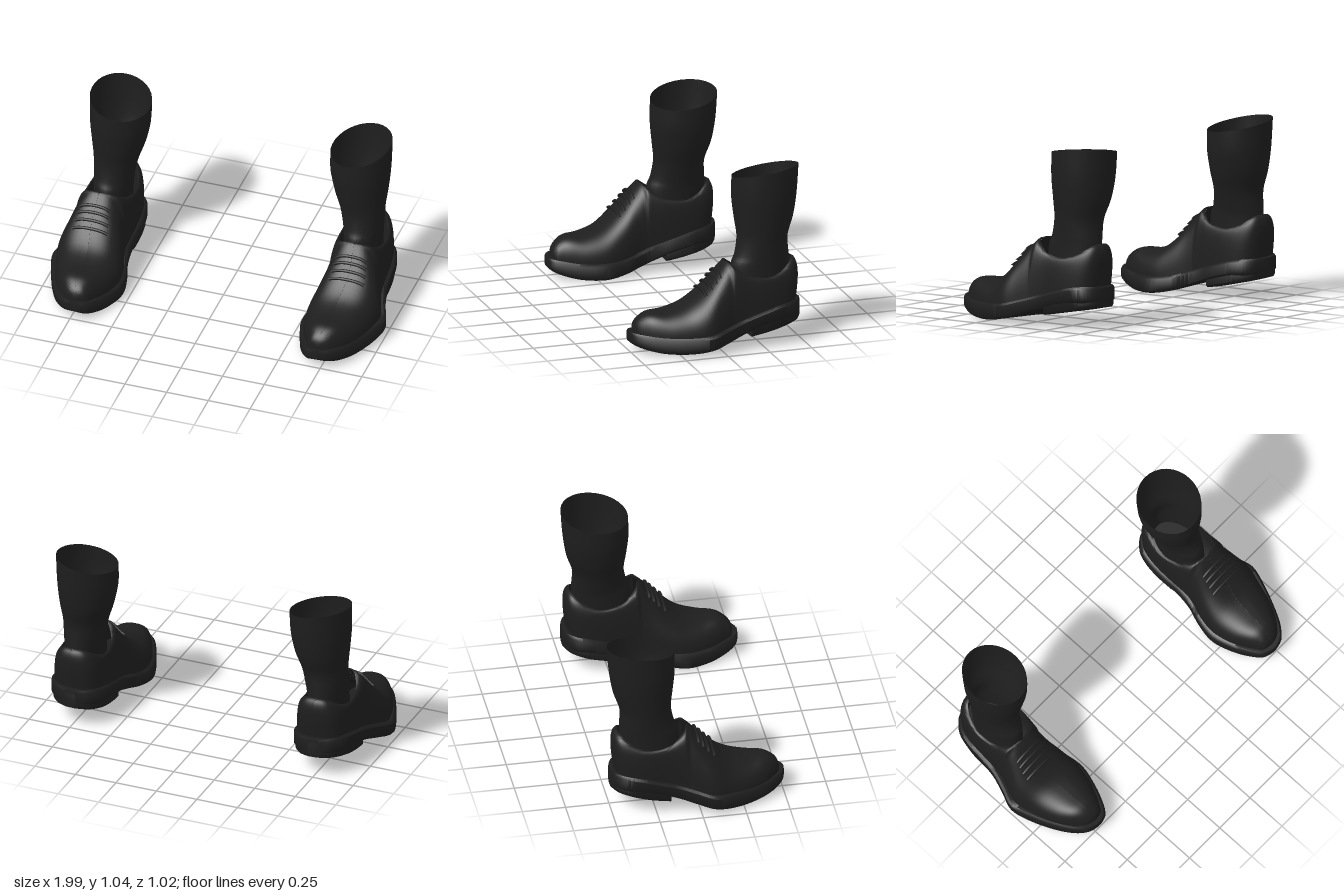
import * as THREE from 'three';
import { toCreasedNormals } from 'three/addons/utils/BufferGeometryUtils.js';

// Smoothly sample a table of rows at fractional row index t
function sampleRow(rows, t) {
  const last = rows.length - 1;
  const i = Math.min(Math.floor(t), last - 1), f = t - i;
  const at = k => rows[Math.max(0, Math.min(last, k))];
  return rows[0].map((_, c) => {
    const p0 = at(i - 1)[c], p1 = at(i)[c], p2 = at(i + 1)[c], p3 = at(i + 2)[c];
    return p1 + 0.5 * f * (p2 - p0 + f * (2 * p0 - 5 * p1 + 4 * p2 - p3 + f * (3 * (p1 - p2) + p3 - p0)));
  });
}

function resample(rows, steps) {
  const n = (rows.length - 1) * steps;
  return Array.from({ length: n + 1 }, (_, k) => sampleRow(rows, k / steps));
}

// Skin a list of cross-sections; side = -1 mirrors the result in x
function loft(rings, side, { closed = true, capStart = false, capEnd = false, crease = 0.8 } = {}) {
  const m = rings[0].length, pos = [], idx = [];
  const tri = (a, b, c) => (side > 0 ? idx.push(a, b, c) : idx.push(a, c, b));
  rings.forEach(r => r.forEach(p => pos.push(p[0] * side, p[1], p[2])));
  const span = closed ? m : m - 1;
  for (let i = 0; i < rings.length - 1; i++) {
    for (let j = 0; j < span; j++) {
      const k = (j + 1) % m, a = i * m, d = a + m;
      tri(a + j, a + k, d + k);
      tri(a + j, d + k, d + j);
    }
  }
  const end = (rings.length - 1) * m;
  for (let j = 1; j < m - 1; j++) {
    if (capStart) tri(0, j + 1, j);
    if (capEnd) tri(end, end + j, end + j + 1);
  }
  const g = new THREE.BufferGeometry();
  g.setAttribute('position', new THREE.Float32BufferAttribute(pos, 3));
  g.setIndex(idx);
  return toCreasedNormals(g, crease);
}

// z, inner x, outer x, bottom y, top y
const SOLE = [
  [0.51, 0.70, 0.75, 0.067, 0.125], [0.49, 0.655, 0.80, 0.052, 0.122],
  [0.43, 0.615, 0.855, 0.03, 0.115], [0.33, 0.57, 0.91, 0.011, 0.104],
  [0.20, 0.535, 0.965, 0.01, 0.104], [0.08, 0.55, 0.997, 0.028, 0.115],
  [-0.02, 0.58, 0.965, 0.054, 0.142], [-0.12, 0.587, 0.935, 0.087, 0.172],
  [-0.22, 0.577, 0.928, 0.12, 0.202], [-0.33, 0.578, 0.922, 0.145, 0.232],
  [-0.42, 0.60, 0.895, 0.15, 0.245], [-0.475, 0.65, 0.845, 0.155, 0.246],
  [-0.497, 0.71, 0.79, 0.16, 0.243],
];
const HEEL = [
  [-0.17, 0.59, 0.92, 0.066, 0.15], [-0.28, 0.585, 0.918, 0.085, 0.19],
  [-0.38, 0.595, 0.90, 0.106, 0.21], [-0.46, 0.64, 0.855, 0.122, 0.215],
  [-0.497, 0.71, 0.79, 0.13, 0.22],
];
// z, inner x, outer x, base y, top y, half width of the opening
const UPPER = [
  [0.485, 0.728, 0.728, 0.105, 0.13, 0], [0.47, 0.67, 0.785, 0.1, 0.175, 0],
  [0.43, 0.643, 0.83, 0.095, 0.212, 0], [0.38, 0.615, 0.868, 0.09, 0.23, 0],
  [0.29, 0.578, 0.913, 0.085, 0.233, 0], [0.18, 0.557, 0.947, 0.085, 0.265, 0],
  [0.08, 0.57, 0.968, 0.1, 0.345, 0], [0, 0.595, 0.945, 0.125, 0.435, 0],
  [-0.055, 0.605, 0.925, 0.14, 0.493, 0], [-0.075, 0.605, 0.92, 0.15, 0.487, 0.057],
  [-0.11, 0.603, 0.915, 0.16, 0.46, 0.09], [-0.17, 0.597, 0.91, 0.175, 0.422, 0.118],
  [-0.28, 0.593, 0.908, 0.205, 0.405, 0.13], [-0.37, 0.603, 0.895, 0.225, 0.427, 0.11],
  [-0.43, 0.63, 0.867, 0.232, 0.462, 0.083], [-0.462, 0.675, 0.822, 0.235, 0.482, 0.05],
  [-0.475, 0.75, 0.75, 0.235, 0.487, 0],
];
// y, front z, back z, inner x, outer x
const SOCK = [
  [0.32, -0.09, -0.43, 0.645, 0.855], [0.46, -0.1, -0.442, 0.64, 0.857],
  [0.52, -0.124, -0.44, 0.632, 0.86], [0.62, -0.142, -0.437, 0.608, 0.867],
  [0.73, -0.13, -0.472, 0.572, 0.88], [0.86, -0.118, -0.495, 0.549, 0.893],
  [1.0, -0.12, -0.506, 0.546, 0.896],
];

// Rounded slab section, rolled slightly towards the inner side
function slabRing([z, xi, xo, yb, yt]) {
  const r = Math.min(0.014, (xo - xi) / 4), tilt = x => 0.04 * (x - 0.76);
  return [[xi + r, yb], [xi, yb + 0.014], [xi, yt - 0.014], [xi + r, yt],
    [xo - r, yt], [xo, yt - 0.014], [xo, yb + 0.014], [xo - r, yb]]
    .map(([x, y]) => [x, Math.max(0, y + tilt(x)), z]);
}

// Point on the leather: u = 0 inner welt, 0.5 ridge or collar, 1 outer welt
function upperPoint([z, xi, xo, y0, yt, rim], u) {
  const sign = u < 0.5 ? -1 : 1, s = 1 - Math.abs(2 * u - 1);
  const half = (xo - xi) / 2, a = s * Math.PI / 2;
  const open = Math.max(0, rim);
  const x = open + (half - open) * Math.pow(Math.max(0, Math.cos(a)), 0.75);
  const back = THREE.MathUtils.clamp((-z - 0.3) / 0.17, 0, 1);
  return [(xi + xo) / 2 + sign * x,
    y0 + (yt - y0) * Math.pow(Math.sin(a), 0.85),
    z + back * (0.022 * s * s - 0.02 * Math.sin(Math.PI * s))];
}

// One wall of the upper, from welt to ridge (or the reverse)
function upperRings(from, to) {
  return resample(UPPER, 4).map(row =>
    Array.from({ length: 15 }, (_, j) => upperPoint(row, from + (to - from) * j / 14)));
}

function sockRings() {
  return resample(SOCK, 4).map(([y, zf, zb, xi, xo]) =>
    Array.from({ length: 32 }, (_, j) => {
      const a = j / 32 * Math.PI * 2, s = Math.sin(a), c = Math.cos(a);
      const top = THREE.MathUtils.smoothstep(y, 0.75, 1);
      return [(xi + xo) / 2 + s * (xo - xi) / 2,
        y + top * (0.03 * s - 0.025 * c), (zf + zb) / 2 + c * (zf - zb) / 2];
    }));
}

function createShoe(side, black, blackOpen) {
  const shoe = new THREE.Group();
  const add = (name, geometry, material) => {
    const mesh = new THREE.Mesh(geometry, material);
    mesh.name = name;
    shoe.add(mesh);
  };
  const caps = { capStart: true, capEnd: true };
  add('sole', loft(resample(SOLE, 4).map(slabRing), side, caps), black);
  add('heel', loft(resample(HEEL, 4).map(slabRing), side, caps), black);
  // The two walls meet along the vamp and leave the collar open
  const walls = { closed: false, crease: 1.2 };
  add('innerUpper', loft(upperRings(0, 0.4999), side, walls), blackOpen);
  add('outerUpper', loft(upperRings(0.5001, 1), side, walls), blackOpen);
  add('sock', loft(sockRings(), side, { capStart: true }), blackOpen);

  // Laces follow the surface of the vamp
  for (const t of [5.95, 6.33, 6.7, 7.07]) {
    const row = sampleRow(UPPER, t);
    const pts = Array.from({ length: 9 }, (_, k) => {
      const [x, y, z] = upperPoint(row, 0.36 + 0.28 * k / 8);
      return new THREE.Vector3(x * side, y + 0.004, z + 0.004);
    });
    add('lace', new THREE.TubeGeometry(new THREE.CatmullRomCurve3(pts), 20, 0.009, 8), black);
  }
  return shoe;
}

export function createModel() {
  const black = new THREE.MeshStandardMaterial({ color: 0x1e1e1e });
  black.name = 'black';
  const blackOpen = black.clone();
  blackOpen.name = 'black open surface';
  blackOpen.side = THREE.DoubleSide;

  const model = new THREE.Group();
  model.name = 'shoesAndSocks';
  for (const [name, side] of [['leftShoe', 1], ['rightShoe', -1]]) {
    const shoe = createShoe(side, black, blackOpen);
    shoe.name = name;
    model.add(shoe);
  }
  return model;
}
